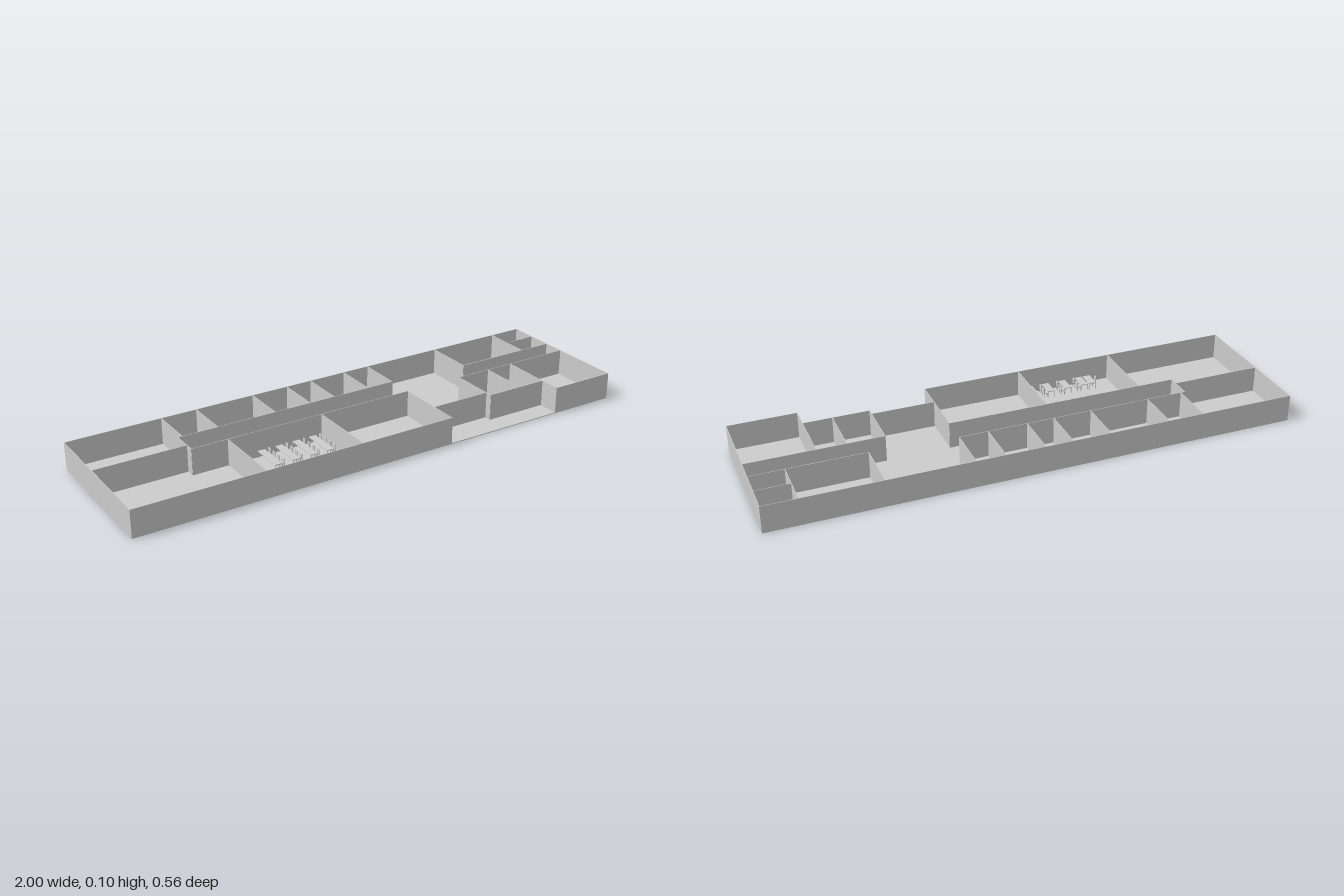
import * as THREE from 'three';

const H = 0.105;   // wall height
const T = 0.002;   // wall thickness
const FLOOR = 0.003;
const material = new THREE.MeshStandardMaterial({ color: 0xcccccc, flatShading: true });

// Box given by its lower and upper corners
function box(name, x0, x1, y0, y1, z0, z1) {
  const mesh = new THREE.Mesh(new THREE.BoxGeometry(x1 - x0, y1 - y0, z1 - z0), material);
  mesh.position.set((x0 + x1) / 2, (y0 + y1) / 2, (z0 + z1) / 2);
  mesh.name = name;
  return mesh;
}

// Four legs under a rectangle centred on the origin
function addLegs(group, width, depth, height) {
  const s = 0.002;
  for (const x of [-width / 2, width / 2 - s])
    for (const z of [-depth / 2, depth / 2 - s])
      group.add(box('leg', x, x + s, 0, height, z, z + s));
}

// Desk with its long side along z
function makeDesk(width, depth) {
  const desk = new THREE.Group();
  desk.name = 'desk';
  desk.add(box('deskTop', -width / 2, width / 2, 0.025, 0.028, -depth / 2, depth / 2));
  addLegs(desk, width, depth, 0.025);
  return desk;
}

// Chair facing -x, backrest on +x
function makeChair() {
  const chair = new THREE.Group();
  chair.name = 'chair';
  const w = 0.016;
  chair.add(box('seat', -w / 2, w / 2, 0.015, 0.017, -w / 2, w / 2));
  chair.add(box('backrest', w / 2 - 0.003, w / 2, 0.017, 0.036, -w / 2, w / 2));
  addLegs(chair, w, w, 0.015);
  return chair;
}

export function createModel() {
  const model = new THREE.Group();
  model.name = 'floorPlan';
  model.add(box('floor', -1, 1, 0, FLOOR, -0.28, 0.28));

  // Walls running along x: [z, from x, to x]
  const alongX = [
    [-0.279, -1, 1], [0.279, -1, 0.25], [0.279, 0.74, 1],  // outer walls, entrance left open
    [-0.033, -1, -0.65],
    [-0.105, -0.65, 0.25], [0, -0.65, 0.25],               // corridor
    [0.17, 0.25, 0.49], [0, 0.49, 1], [0.197, 0.49, 0.74], // entrance rooms
    [-0.085, 0.575, 1], [-0.18, 0.87, 1],                  // back corner rooms
  ];
  for (const [z, a, b] of alongX)
    model.add(box('wall', a, b, FLOOR, H, z - T / 2, z + T / 2));

  // Walls running along z: [x, from z, to z]
  const alongZ = [
    [-0.999, -0.28, 0.28], [0.999, -0.28, 0.28],           // ends
    [-0.65, -0.105, 0],                                    // corridor end
    [-0.51, 0, 0.28], [-0.13, 0, 0.28], [0.25, 0, 0.28],   // front rooms
    [0.49, 0, 0.197], [0.63, 0, 0.197], [0.74, 0, 0.28],
    [0.575, -0.28, -0.085], [0.87, -0.28, -0.085],
  ];
  // Row of small back rooms
  for (const x of [-0.633, -0.494, -0.261, -0.114, -0.01, 0.14, 0.25])
    alongZ.push([x, -0.28, -0.105]);
  for (const [x, a, b] of alongZ)
    model.add(box('wall', x - T / 2, x + T / 2, FLOOR, H, a, b));

  // Classroom: desk rows on both sides of an aisle, chairs on their +x side
  const classroom = new THREE.Group();
  classroom.name = 'classroomFurniture';
  classroom.position.y = FLOOR;
  for (const x of [-0.384, -0.313, -0.242, -0.174]) {
    for (const [z0, seats] of [[0.006, 4], [0.212, 2]]) {
      const pitch = 0.032;
      const desk = makeDesk(0.028, seats * pitch);
      desk.position.set(x, 0, z0 + seats * pitch / 2);
      classroom.add(desk);
      for (let i = 0; i < seats; i++) {
        const chair = makeChair();
        chair.position.set(x + 0.019, 0, z0 + (i + 0.5) * pitch);
        classroom.add(chair);
      }
    }
  }

  // Teacher's desk and chair, facing the rows
  const teacherDesk = makeDesk(0.03, 0.064);
  teacherDesk.name = 'teacherDesk';
  teacherDesk.position.set(-0.418, 0, 0.244);
  const teacherChair = makeChair();
  teacherChair.name = 'teacherChair';
  teacherChair.rotation.y = Math.PI;
  teacherChair.position.set(-0.437, 0, 0.244);
  classroom.add(teacherDesk, teacherChair);
  model.add(classroom);
  return model;
}
